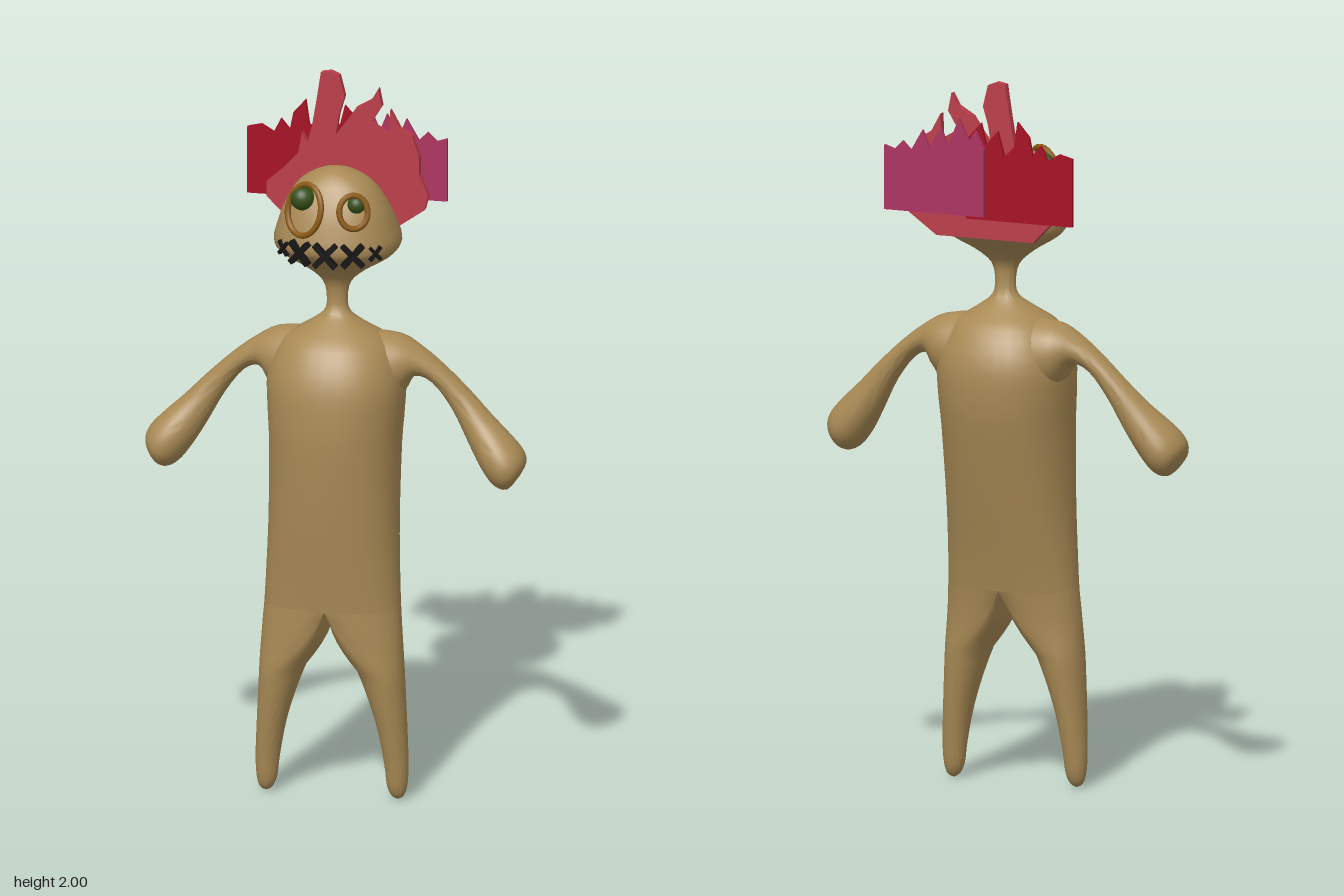
import * as THREE from 'three';
import { toCreasedNormals } from 'three/addons/utils/BufferGeometryUtils.js';

const SEG = 32;
const mat = (color) => new THREE.MeshStandardMaterial({ color });
const rounded = (v) => Math.sign(v) * Math.abs(v) ** 0.9;

// Inserts Catmull-Rom rows between key rows
function smooth(rows, n = 3) {
  const out = [];
  for (let i = 0; i < rows.length - 1; i++) {
    const a = rows[Math.max(i - 1, 0)], b = rows[i], c = rows[i + 1], d = rows[Math.min(i + 2, rows.length - 1)];
    for (let k = 0; k < n; k++) {
      const t = k / n;
      out.push(b.map((_, j) => {
        const cubic = 3 * (b[j] - c[j]) + d[j] - a[j];
        const square = 2 * a[j] - 5 * b[j] + 4 * c[j] - d[j];
        return b[j] + 0.5 * t * (c[j] - a[j] + t * (square + t * cubic));
      }));
    }
  }
  out.push(rows[rows.length - 1]);
  return out;
}

// Skins closed rings; ringPoint(row, angle) returns [x, y, z]; side = -1 mirrors in x
function loft(rows, ringPoint, side = 1) {
  const pos = [], index = [];
  rows.forEach((row, i) => {
    for (let j = 0; j < SEG; j++) {
      const [x, y, z] = ringPoint(row, (j / SEG) * Math.PI * 2);
      pos.push(x * side, y, z);
      if (i === rows.length - 1) continue;
      const a = i * SEG + j, b = i * SEG + (j + 1) % SEG, c = a + SEG, d = b + SEG;
      if (side > 0) index.push(a, b, c, b, d, c);
      else index.push(a, c, b, b, c, d);
    }
  });
  const g = new THREE.BufferGeometry();
  g.setAttribute('position', new THREE.Float32BufferAttribute(pos, 3));
  g.setIndex(index);
  return toCreasedNormals(g, 0.9);
}

export function createModel() {
  const model = new THREE.Group();
  const skin = mat(0xa98a55), brown = mat(0x8a5a12), green = mat(0x35501a), black = mat(0x151515);
  const add = (name, geometry, material, parent = model) => {
    const mesh = new THREE.Mesh(geometry, material);
    mesh.name = name;
    parent.add(mesh);
    return mesh;
  };

  // Head, neck and torso: height, half width, back z, front z
  const trunk = smooth([
    [1.792, 0.002, 0.038, 0.042], [1.782, 0.045, -0.005, 0.075], [1.75, 0.1, -0.045, 0.11],
    [1.69, 0.14, -0.09, 0.143], [1.63, 0.163, -0.13, 0.163], [1.575, 0.175, -0.155, 0.173],
    [1.54, 0.15, -0.115, 0.14], [1.5, 0.085, -0.05, 0.085], [1.46, 0.04, -0.01, 0.05],
    [1.41, 0.029, -0.005, 0.042], [1.37, 0.038, -0.014, 0.052], [1.335, 0.085, -0.05, 0.1],
    [1.29, 0.15, -0.105, 0.155], [1.2, 0.188, -0.148, 0.2], [1.1, 0.187, -0.152, 0.214],
    [1.0, 0.181, -0.137, 0.216], [0.8, 0.18, -0.09, 0.203], [0.65, 0.185, -0.052, 0.188],
    [0.55, 0.19, -0.03, 0.178]]);
  add('headAndTorso', loft(trunk, ([y, w, zb, zf], t) =>
    [w * rounded(Math.cos(t)), y, (zb + zf) / 2 + (zf - zb) / 2 * rounded(Math.sin(t))]), skin);

  // Legs: height, inner x, outer x, back z, front z
  const leg = smooth([
    [0.55, 0, 0.19, -0.03, 0.178], [0.48, 0.02, 0.195, -0.014, 0.173], [0.4, 0.06, 0.2, 0, 0.164],
    [0.3, 0.1, 0.205, 0.015, 0.15], [0.2, 0.13, 0.21, 0.03, 0.135], [0.1, 0.148, 0.214, 0.044, 0.12],
    [0.04, 0.155, 0.211, 0.053, 0.112], [0.01, 0.168, 0.202, 0.066, 0.1], [0, 0.184, 0.186, 0.082, 0.084]]);
  // Half of the torso section at the hip turns into a full oval lower down
  const legPoint = ([y, xi, xo, zb, zf], t) => {
    const k = THREE.MathUtils.clamp((0.55 - y) / 0.18, 0, 1), c = Math.cos(t);
    const half = xo * rounded(Math.max(c, 0)), oval = (xi + xo) / 2 + (xo - xi) / 2 * c;
    return [half + (oval - half) * k, y, (zb + zf) / 2 + (zf - zb) / 2 * rounded(Math.sin(t))];
  };

  // Arms: upper edge x y, lower edge x y, centre z, half depth
  const arm = smooth([
    [0.07, 1.32, 0.1, 1.08, 0.01, 0.11], [0.17, 1.31, 0.18, 1.14, 0, 0.085],
    [0.235, 1.275, 0.215, 1.195, 0, 0.055], [0.3, 1.225, 0.265, 1.18, 0, 0.041],
    [0.37, 1.16, 0.32, 1.11, 0.002, 0.041], [0.43, 1.1, 0.367, 1.025, 0.013, 0.054],
    [0.485, 1.05, 0.41, 0.955, 0.028, 0.074], [0.522, 1.01, 0.448, 0.91, 0.034, 0.078],
    [0.533, 0.975, 0.485, 0.9, 0.035, 0.055], [0.516, 0.936, 0.514, 0.934, 0.035, 0.002]]);
  const armPoint = ([ax, ay, bx, by, z, d], t) => {
    const c = Math.cos(t) / 2;
    return [(ax + bx) / 2 + (ax - bx) * c, (ay + by) / 2 + (ay - by) * c, z + d * Math.sin(t)];
  };
  for (const [label, side] of [['left', 1], ['right', -1]]) {
    add(label + 'Leg', loft(leg, legPoint, side), skin);
    add(label + 'Arm', loft(arm, armPoint, side), skin);
  }

  // Eyes: oval rim with a bulging pupil
  const eyes = [
    ['rightEye', -0.062, 0.152, 0.058, 0.071, -0.48, [-0.075, 1.72, 0.118], 0.034],
    ['leftEye', 0.074, 0.142, 0.04, 0.046, 0.45, [0.077, 1.712, 0.118], 0.025]];
  for (const [name, x, z, rx, ry, yaw, pupil, r] of eyes) {
    const eye = new THREE.Group();
    eye.name = name;
    model.add(eye);
    const path = new THREE.CatmullRomCurve3(Array.from({ length: 16 }, (_, i) => {
      const a = (i / 16) * Math.PI * 2;
      return new THREE.Vector3(rx * Math.cos(a), ry * Math.sin(a), 0);
    }), true);
    const rim = add('eyeRim', new THREE.TubeGeometry(path, 40, 0.0085, 8, true), brown, eye);
    rim.position.set(x, 1.697, z);
    rim.rotation.set(-0.25, yaw, 0, 'YXZ');
    add('pupil', new THREE.SphereGeometry(r, 20, 14), green, eye).position.set(...pupil);
  }

  // Stitched mouth: crosses wrapped around the face
  const mouth = new THREE.Group();
  mouth.name = 'mouth';
  model.add(mouth);
  for (const [x, s] of [[-0.125, 0.6], [-0.072, 1], [0.003, 1.05], [0.077, 1], [0.132, 0.6]]) {
    const stitch = new THREE.Group();
    stitch.name = 'crossStitch';
    stitch.position.set(x, 1.578, 0.012 + 0.17 * Math.sqrt(1 - (x / 0.18) ** 2));
    stitch.rotation.y = Math.asin(x / 0.18) * 0.85;
    stitch.scale.setScalar(s);
    for (const tilt of [-0.75, 0.75]) {
      add('thread', new THREE.BoxGeometry(0.015, 0.082, 0.018), black, stitch).rotation.z = tilt;
    }
    mouth.add(stitch);
  }

  // Hair: three flat flame-shaped plates behind the head
  const plates = [
    ['middleHair', 0xbb3d49, -0.175, 0.02, [
      [-0.17, 1.56], [0.12, 1.56], [0.205, 1.62], [0.215, 1.66], [0.19, 1.72], [0.19, 1.77], [0.17, 1.83],
      [0.135, 1.85], [0.108, 1.9], [0.105, 1.83], [0.055, 1.86], [0.085, 1.91], [0.075, 1.96], [0.055, 1.925],
      [0.012, 1.9], [-0.015, 1.86], [-0.045, 1.82], [-0.035, 1.88], [-0.02, 1.93], [-0.035, 1.99], [-0.06, 2.0],
      [-0.087, 1.995], [-0.1, 1.91], [-0.112, 1.84], [-0.125, 1.79], [-0.14, 1.82], [-0.15, 1.76], [-0.195, 1.71],
      [-0.24, 1.67], [-0.24, 1.63]]],
    ['rightHair', 0xa50d22, -0.211, 0.01, [
      [-0.305, 1.62], [0.015, 1.62], [0.015, 1.84], [-0.03, 1.89], [-0.045, 1.83], [-0.08, 1.87], [-0.1, 1.8],
      [-0.13, 1.83], [-0.14, 1.9], [-0.175, 1.86], [-0.185, 1.81], [-0.21, 1.84], [-0.23, 1.8], [-0.265, 1.82],
      [-0.305, 1.81]]],
    ['leftHair', 0xad3360, -0.224, 0.01, [
      [-0.045, 1.63], [0.255, 1.63], [0.255, 1.81], [0.225, 1.8], [0.2, 1.825], [0.175, 1.8], [0.14, 1.86],
      [0.12, 1.81], [0.085, 1.87], [0.065, 1.82], [0.03, 1.9], [0.0, 1.84], [-0.02, 1.87], [-0.045, 1.82]]]];
  for (const [name, color, z, depth, points] of plates) {
    const shape = new THREE.Shape(points.map(([x, y]) => new THREE.Vector2(x, y)));
    add(name, new THREE.ExtrudeGeometry(shape, { depth, bevelEnabled: false }), mat(color)).position.z = z;
  }
  return model;
}
